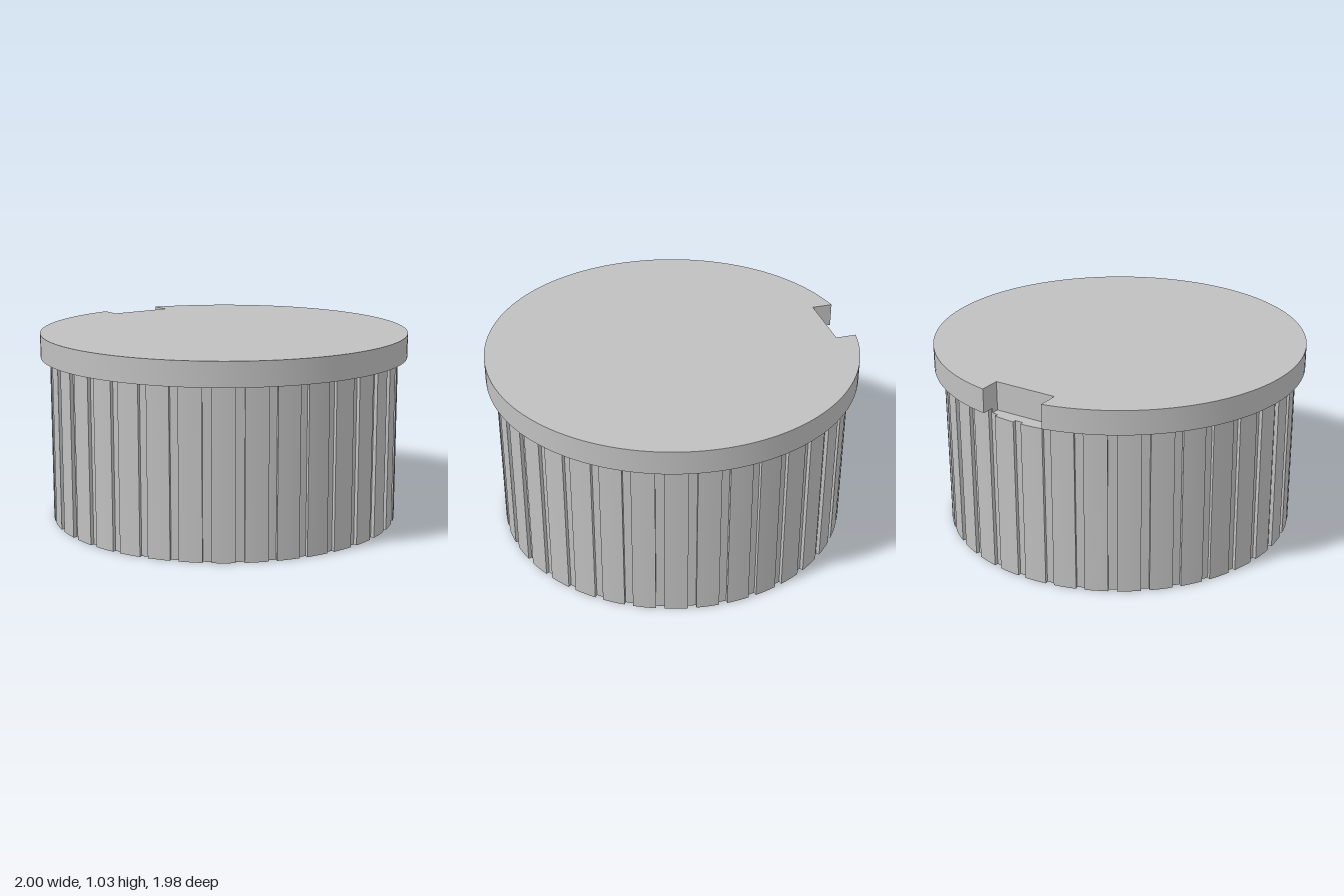
import * as THREE from 'three';
import { toCreasedNormals } from 'three/addons/utils/BufferGeometryUtils.js';

const NOTCH_HALF = 0.175, NOTCH_DEPTH = 0.873;
const GROOVES = 36, RIB_R = 0.95, FLOOR_R = 0.93, GROOVE_HALF = 0.0225;

// Ribbed outline, starting at the back (+y in the shape) and running clockwise
function ribbedOutline() {
  const pts = [];
  const step = (Math.PI * 2) / GROOVES;
  const half = Math.asin(GROOVE_HALF / RIB_R);
  const rim = Math.sqrt(RIB_R ** 2 - GROOVE_HALF ** 2);
  for (let k = 0; k < GROOVES; k++) {
    const a = k * step, s = Math.sin(a), c = Math.cos(a);
    const corners = [[rim, -GROOVE_HALF], [FLOOR_R, -GROOVE_HALF], [FLOOR_R, GROOVE_HALF], [rim, GROOVE_HALF]];
    for (const [r, w] of corners) pts.push(new THREE.Vector2(r * s + w * c, r * c - w * s));
    // curved rib face up to the next groove
    for (let i = 1; i < 4; i++) {
      const t = a + half + ((step - 2 * half) * i) / 4;
      pts.push(new THREE.Vector2(RIB_R * Math.sin(t), RIB_R * Math.cos(t)));
    }
  }
  return pts;
}

function roundOutline(radius, segments) {
  return Array.from({ length: segments }, (_, i) => {
    const t = (i / segments) * Math.PI * 2;
    return new THREE.Vector2(radius * Math.sin(t), radius * Math.cos(t));
  });
}

// Cuts the rectangular key notch out of the back of an outline
function notched(pts, edge) {
  const kept = pts.filter(p => !(p.y > 0.5 && Math.abs(p.x) < NOTCH_HALF));
  const cut = [[-NOTCH_HALF, edge], [-NOTCH_HALF, NOTCH_DEPTH], [NOTCH_HALF, NOTCH_DEPTH], [NOTCH_HALF, edge]];
  return kept.concat(cut.map(([x, y]) => new THREE.Vector2(x, y)));
}

// Upright slab between two heights
function slab(name, pts, y0, y1, material) {
  const geo = new THREE.ExtrudeGeometry(new THREE.Shape(pts), { depth: y1 - y0, bevelEnabled: false });
  geo.rotateX(-Math.PI / 2);
  geo.translate(0, y0, -0.007);
  const mesh = new THREE.Mesh(toCreasedNormals(geo, 0.25), material);
  mesh.name = name;
  return mesh;
}

export function createModel() {
  const group = new THREE.Group();
  group.name = 'ribbedCap';
  const grey = new THREE.MeshStandardMaterial({ color: 0xc0c0c0 });
  grey.name = 'grey';

  const ribs = ribbedOutline();
  group.add(
    slab('ribbedBody', ribs, 0, 0.873, grey),
    slab('bodyNotchLayer', notched(ribs, 0.9135), 0.873, 0.897, grey),
    slab('topFlange', notched(roundOutline(1, 144), 0.9846), 0.897, 1.027, grey),
  );
  return group;
}
